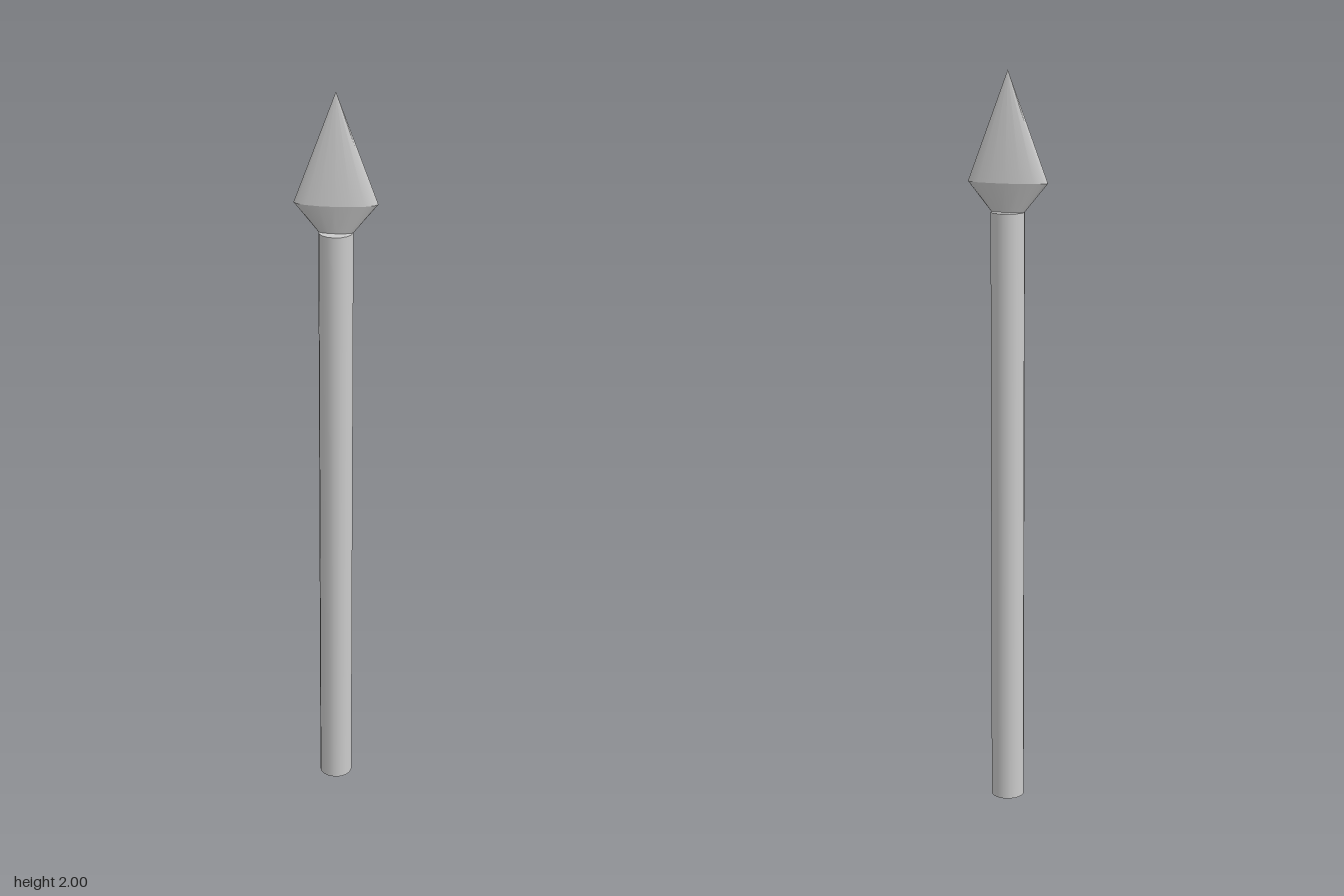
import * as THREE from 'three';

const SIDES = 16;
const SHAFT_TOP = 1.635, SHOULDER = 1.712, TIP = 2;
const FLATTEN = 0.28; // depth of the blade relative to its width

export function createModel() {
  const group = new THREE.Group();
  const material = new THREE.MeshStandardMaterial({ color: 0xcccccc });

  // Tapered round section between two heights, optionally flattened in depth
  function addSection(name, rTop, rBottom, y0, y1, depth = 1, open = false) {
    const geometry = new THREE.CylinderGeometry(rTop, rBottom, y1 - y0, SIDES, 1, open);
    geometry.scale(1, 1, depth);
    geometry.translate(0, (y0 + y1) / 2, 0);
    const mesh = new THREE.Mesh(geometry, material);
    mesh.name = name;
    group.add(mesh);
  }

  // Plain round shaft with closed ends
  addSection('shaft', 0.045, 0.045, 0, SHAFT_TOP);

  // Flattened spearhead: flared base, then a long taper to the point
  addSection('spearheadBase', 0.108, 0.045, SHAFT_TOP, SHOULDER, FLATTEN, true);
  addSection('spearheadBlade', 0, 0.108, SHOULDER, TIP, FLATTEN, true);

  return group;
}
